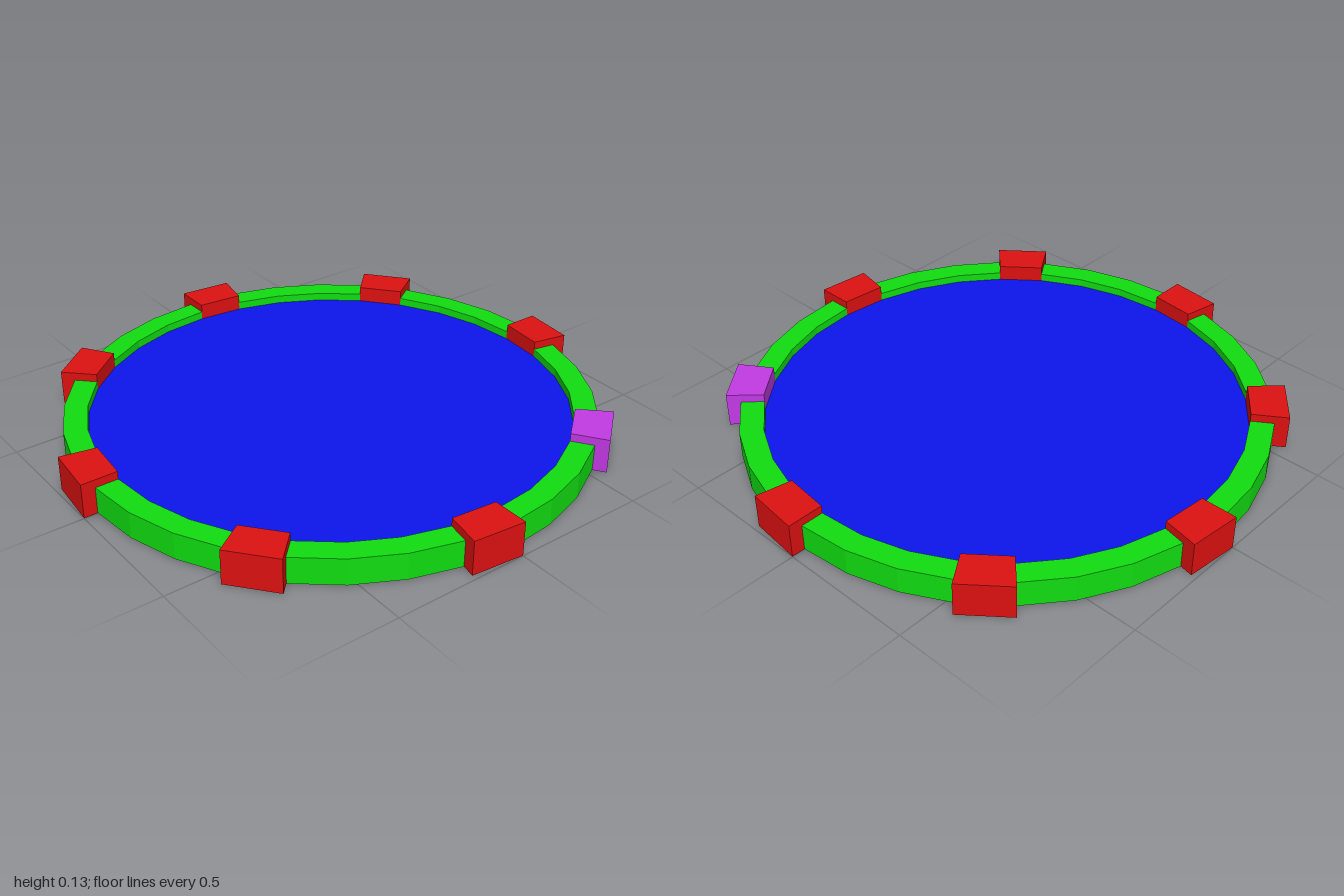
import * as THREE from 'three';

const SEGMENTS = 32, SPACING = 4;           // one block on every fourth facet
const INNER = 0.865, RIM = 0.95, OUTER = 1; // radii
const RIM_TOP = 0.1, BLOCK_TOP = 0.13, FLOOR = 0.07, SKIN = 0.001;

const paint = (color) => new THREE.MeshStandardMaterial({ color, flatShading: true });

// Corner k of the polygon, clockwise from the back as seen from above
function corner(k, radius) {
  const a = (k / SEGMENTS) * Math.PI * 2;
  return new THREE.Vector2(Math.sin(a) * radius, Math.cos(a) * radius);
}

// Upright faceted arc covering facets from..to
function arc(name, from, to, radius, top, material) {
  const points = [];
  for (let k = from; k <= to; k++) points.push(corner(k, radius));
  for (let k = to; k >= from; k--) points.push(corner(k, INNER));
  const geometry = new THREE.ExtrudeGeometry(new THREE.Shape(points), { depth: top - SKIN, bevelEnabled: false });
  geometry.rotateX(-Math.PI / 2).translate(0, SKIN, 0);
  const mesh = new THREE.Mesh(geometry, material);
  mesh.name = name;
  return mesh;
}

export function createModel() {
  const group = new THREE.Group();
  group.name = 'roundTray';
  const green = paint(0x11dd11), red = paint(0xdd1111);
  const blue = paint(0x0d16ee), purple = paint(0xc23ae4);

  // Rim sections alternating with raised blocks, one block in a second color
  const outline = [];
  for (let k = 0; k < SEGMENTS; k += SPACING) {
    const accent = k === SPACING;
    group.add(arc(accent ? 'accentBlock' : 'block', k, k + 1, OUTER, BLOCK_TOP, accent ? purple : red));
    group.add(arc('rimSection', k + 1, k + SPACING, RIM, RIM_TOP, green));
    outline.push(corner(k, OUTER), corner(k + 1, OUTER));
    for (let j = 1; j <= SPACING; j++) outline.push(corner(k + j, RIM));
  }

  // Recessed floor
  const floor = new THREE.Mesh(new THREE.CircleGeometry(INNER, SEGMENTS), blue);
  floor.name = 'floor';
  floor.rotation.x = -Math.PI / 2;
  floor.position.y = FLOOR;
  group.add(floor);

  // Flat underside following the whole outline, facing down
  const shape = new THREE.Shape(outline.map((p) => new THREE.Vector2(p.x, -p.y)));
  const underside = new THREE.Mesh(new THREE.ShapeGeometry(shape).rotateX(Math.PI / 2), green);
  underside.name = 'underside';
  group.add(underside);

  return group;
}
